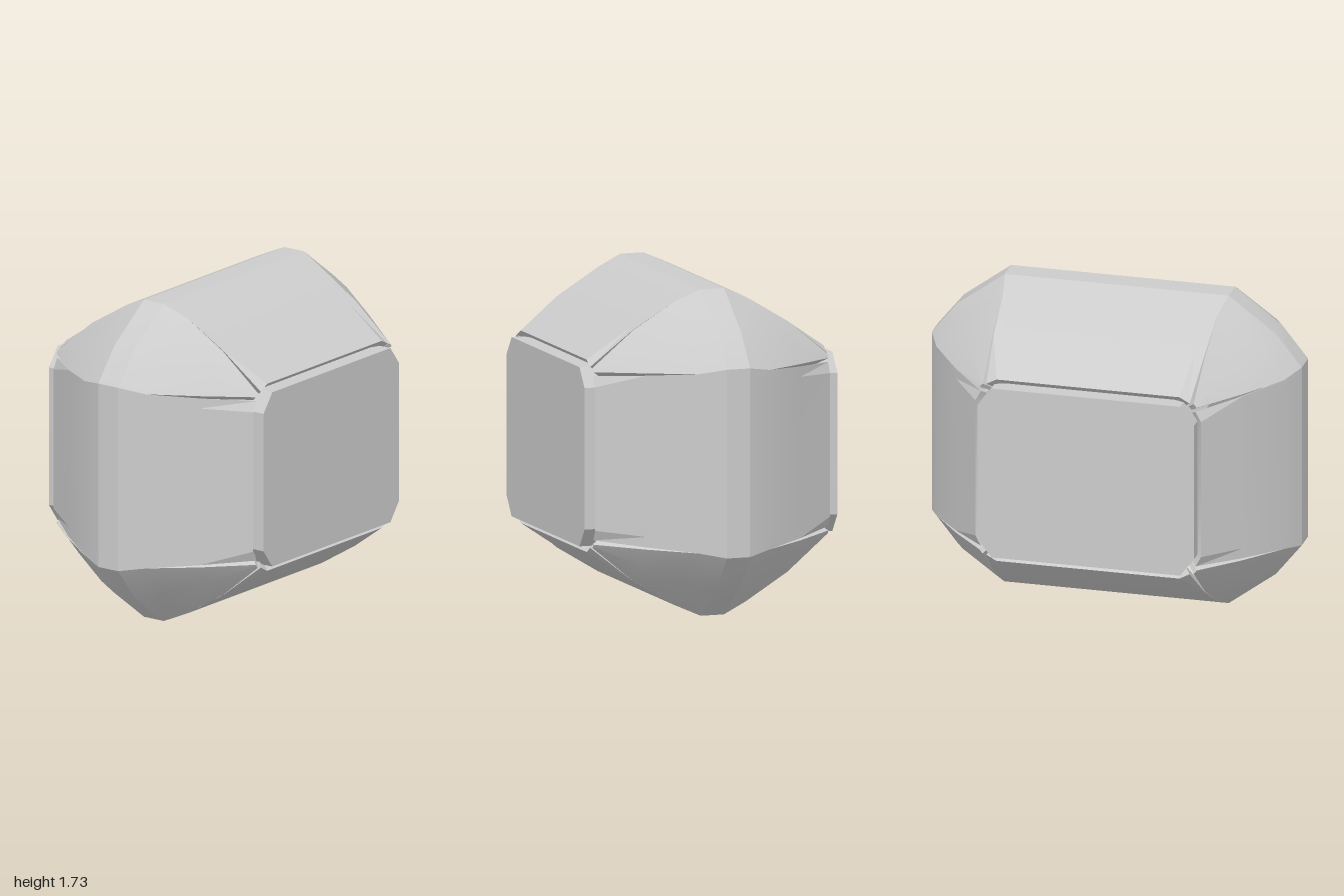
import * as THREE from 'three';
import { toCreasedNormals } from 'three/addons/utils/BufferGeometryUtils.js';

const material = new THREE.MeshStandardMaterial({ color: 0xcccccc });

// Curved skin through a grid of points, with a rim folded inward along its border.
function skin(rows) {
  const pos = [];
  const quad = (a, b, c, d) => [a, b, c, a, c, d].forEach((p) => pos.push(...p));
  const n = rows.length - 1, m = rows[0].length - 1;
  for (let i = 0; i < n; i++)
    for (let j = 0; j < m; j++) quad(rows[i][j], rows[i + 1][j], rows[i + 1][j + 1], rows[i][j + 1]);
  const border = [];
  for (let i = 0; i < n; i++) border.push(rows[i][0]);
  for (let j = 0; j < m; j++) border.push(rows[n][j]);
  for (let i = n; i > 0; i--) border.push(rows[i][m]);
  for (let j = m; j > 0; j--) border.push(rows[0][j]);
  const inner = (p) => p.map((v) => v * 0.93);
  border.forEach((a, k) => {
    const b = border[(k + 1) % border.length];
    quad(a, inner(a), inner(b), b);
  });
  const geo = new THREE.BufferGeometry();
  geo.setAttribute('position', new THREE.Float32BufferAttribute(pos, 3));
  return toCreasedNormals(geo, 0.38);
}

// Repeat half-profile sections on both sides of x = 0.
const mirrorSections = (half) => [...half.map(([x, ...r]) => [-x, ...r]).reverse(), ...half];

// Panel sections: [x, distance from centre, half width]; the end corners dip.
function panelGeometry(half) {
  return skin(mirrorSections(half).map(([x, d, h]) => {
    const dip = Math.abs(x) > 0.6 ? 0.03 : 0;
    return [[x, -h, d - dip], [x, -h + 0.055, d], [x, 0, d], [x, h - 0.055, d], [x, h, d - dip]];
  }));
}

export function createModel() {
  const model = new THREE.Group();
  model.name = 'facetedBlock';
  const body = new THREE.Group();
  body.name = 'body';
  body.position.y = 0.865;
  model.add(body);

  const add = (name, geo, rx = 0, ry = 0, rz = 0) => {
    const mesh = new THREE.Mesh(geo, material);
    mesh.name = name;
    mesh.rotation.set(rx, ry, rz);
    body.add(mesh);
  };

  // Front and back panels
  const wall = panelGeometry([
    [0.065, 1, 0.5], [0.2, 0.94, 0.475], [0.43, 0.775, 0.455], [0.655, 0.61, 0.435],
  ]);
  add('frontPanel', wall);
  add('backPanel', wall, Math.PI);

  // Top and bottom panels
  const lid = panelGeometry([
    [0.065, 0.865, 0.605], [0.2, 0.805, 0.58], [0.43, 0.665, 0.57], [0.66, 0.51, 0.55],
  ]);
  add('topPanel', lid, -Math.PI / 2);
  add('bottomPanel', lid, Math.PI / 2);

  // Corner caps: sections of [z, y] from the front edge up to the top edge
  const cap = skin(mirrorSections([
    [0.065, [1, 0.5], [0.86, 0.675], [0.605, 0.865]],
    [0.2, [0.94, 0.475], [0.795, 0.65], [0.58, 0.805]],
    [0.43, [0.775, 0.467], [0.69, 0.562], [0.575, 0.665]],
    [0.655, [0.587, 0.457], [0.58, 0.467], [0.57, 0.477]],
  ]).map(([x, ...pts]) => pts.map(([z, y]) => [x, y, z])));
  add('frontTopCap', cap);
  add('backTopCap', cap, 0, Math.PI);
  add('backBottomCap', cap, Math.PI);
  add('frontBottomCap', cap, 0, 0, Math.PI);

  // Inner block whose chamfered ends form the two side plates
  const outline = new THREE.Shape([
    [-0.51, -0.475], [0.51, -0.475], [0.585, -0.375], [0.585, 0.375],
    [0.51, 0.475], [-0.51, 0.475], [-0.585, 0.375], [-0.585, -0.375],
  ].map(([z, y]) => new THREE.Vector2(z, y)));
  const block = new THREE.ExtrudeGeometry(outline, { depth: 1.41, bevelEnabled: false });
  block.translate(0, 0, -0.705);
  block.rotateY(Math.PI / 2);
  add('sidePlates', block);

  return model;
}
